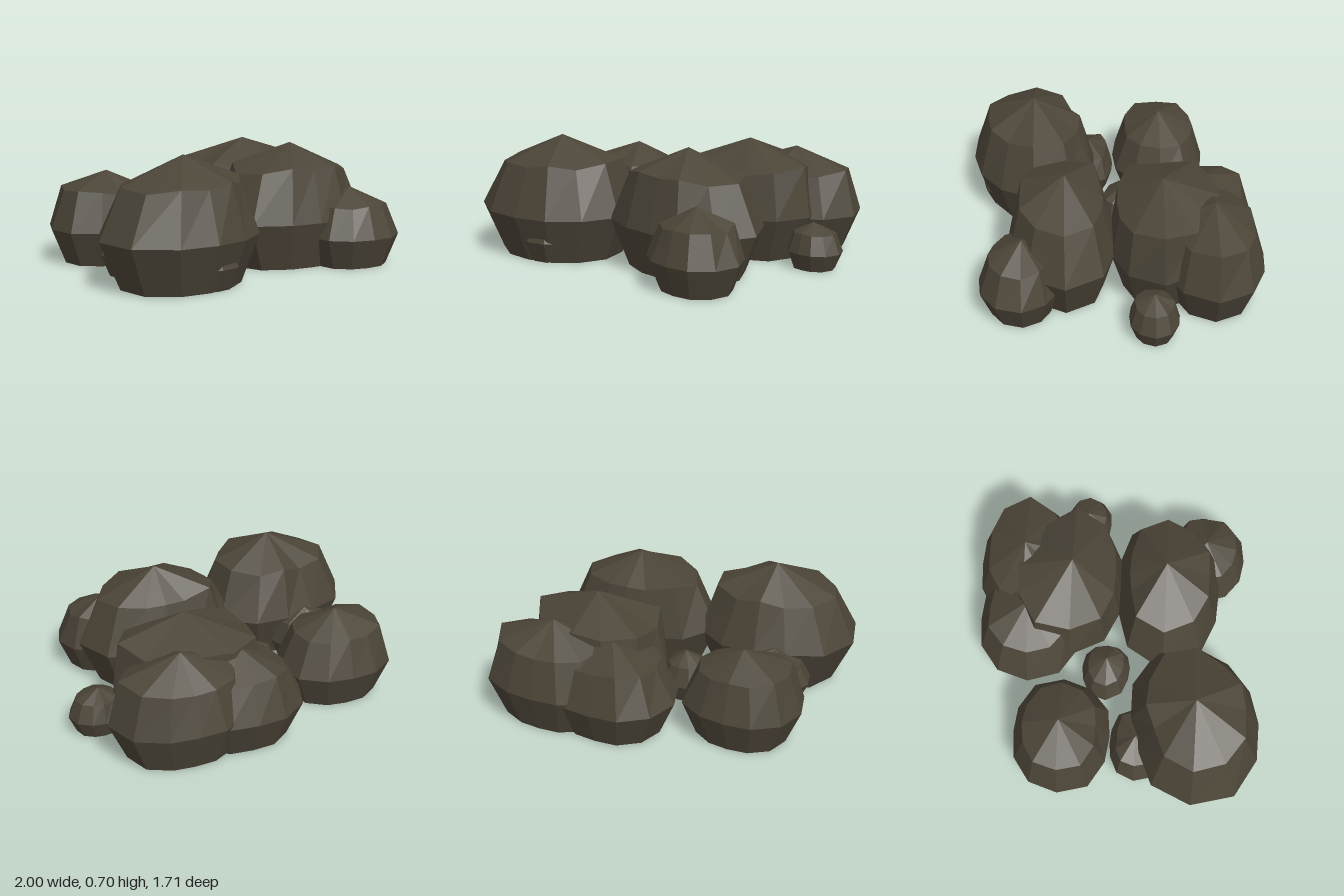
import * as THREE from 'three';

const SIDES = 12;
const ROUNDNESS = 2.3; // above 2 gives slightly boxy outlines

// Small seeded generator for uneven bellies and shoulders
function seeded(seed) {
  let s = seed;
  return () => {
    s = (s * 16807) % 2147483647;
    return s / 2147483647;
  };
}

// One boulder: base, belly and shoulder rings closed by a pointed cap.
// reach is how far the belly extends from the peak towards +x, +z, -x, -z,
// lean swells one diagonal, shoulder is the upper ring's share of the belly.
function rockGeometry({ h, reach, lean = 0, shoulder = 0.75 }, seed) {
  const rand = seeded(seed);
  const outline = Array.from({ length: SIDES }, (_, i) => {
    const a = (i / SIDES) * Math.PI * 2;
    const c = Math.cos(a);
    const s = Math.sin(a);
    const u = Math.abs(c) / (c > 0 ? reach[0] : reach[2]);
    const v = Math.abs(s) / (s > 0 ? reach[1] : reach[3]);
    const r = (u ** ROUNDNESS + v ** ROUNDNESS) ** (-1 / ROUNDNESS);
    const lump = i % 3 === 0 ? 1 : 0.97 + rand() * 0.06 + lean * Math.sin(2 * a);
    return [c * r * lump, s * r * lump];
  });
  const levels = [
    { y: 0, r: 0, wobble: 0 },
    { y: 0, r: 0.76, wobble: 0 },
    { y: 0.385, r: 1, wobble: 0 },
    { y: 0.79, r: shoulder, wobble: 0.08 },
    { y: 1, r: 0, wobble: 0 },
  ];
  const rings = levels.map(({ y, r, wobble }) => outline.map(([x, z]) => {
    const d = (rand() - 0.5) * wobble;
    return [x * (r + d), (y + d) * h, z * (r + d)];
  }));
  const pos = [];
  for (let k = 0; k < rings.length - 1; k++) {
    for (let i = 0; i < SIDES; i++) {
      const j = (i + 1) % SIDES;
      const [a, b, c, d] = [rings[k][i], rings[k][j], rings[k + 1][i], rings[k + 1][j]];
      if (levels[k].r > 0) pos.push(...b, ...a, ...c);
      if (levels[k + 1].r > 0) pos.push(...b, ...c, ...d);
    }
  }
  const geo = new THREE.BufferGeometry();
  geo.setAttribute('position', new THREE.Float32BufferAttribute(pos, 3));
  geo.computeVertexNormals();
  return geo;
}

const ROCKS = [
  // Large boulders
  { name: 'frontRightBoulder', x: -0.5, z: 0.46, h: 0.7, reach: [0.45, 0.39, 0.5, 0.36], lean: -0.06 },
  { name: 'frontLeftBoulder', x: 0.31, z: 0.27, h: 0.7, reach: [0.48, 0.33, 0.5, 0.29] },
  { name: 'middleBoulder', x: 0.32, z: -0.28, h: 0.675, reach: [0.43, 0.3, 0.44, 0.35], lean: 0.03, shoulder: 0.88 },
  { name: 'backBoulder', x: 0.1, z: -0.53, h: 0.54, reach: [0.4, 0.3, 0.38, 0.31] },
  { name: 'backLeftBoulder', x: 0.45, z: -0.57, h: 0.6, reach: [0.42, 0.3, 0.38, 0.29], shoulder: 0.8 },
  { name: 'backRightBoulder', x: -0.6, z: -0.31, h: 0.53, reach: [0.34, 0.29, 0.35, 0.28] },
  // Small stones between and around them
  { name: 'frontStone', x: 0.57, z: 0.51, h: 0.45, reach: [0.29, 0.25, 0.27, 0.22], lean: 0.03 },
  { name: 'leftStone', x: 0.82, z: -0.22, h: 0.26, reach: [0.18, 0.14, 0.14, 0.14] },
  { name: 'centreStone', x: -0.14, z: -0.06, h: 0.28, reach: [0.14, 0.14, 0.21, 0.15] },
  { name: 'rightStone', x: -0.62, z: 0.13, h: 0.31, reach: [0.22, 0.21, 0.22, 0.15] },
  { name: 'buriedStone', x: -0.45, z: 0.59, h: 0.32, reach: [0.2, 0.21, 0.19, 0.18] },
];

export function createModel() {
  const group = new THREE.Group();
  group.name = 'rockPile';
  const stone = new THREE.MeshStandardMaterial({ color: 0x4b4437, flatShading: true });
  stone.name = 'darkStone';

  ROCKS.forEach((spec, i) => {
    const rock = new THREE.Mesh(rockGeometry(spec, 101 + i * 977), stone);
    rock.name = spec.name;
    rock.position.set(spec.x, 0, spec.z);
    group.add(rock);
  });
  return group;
}
